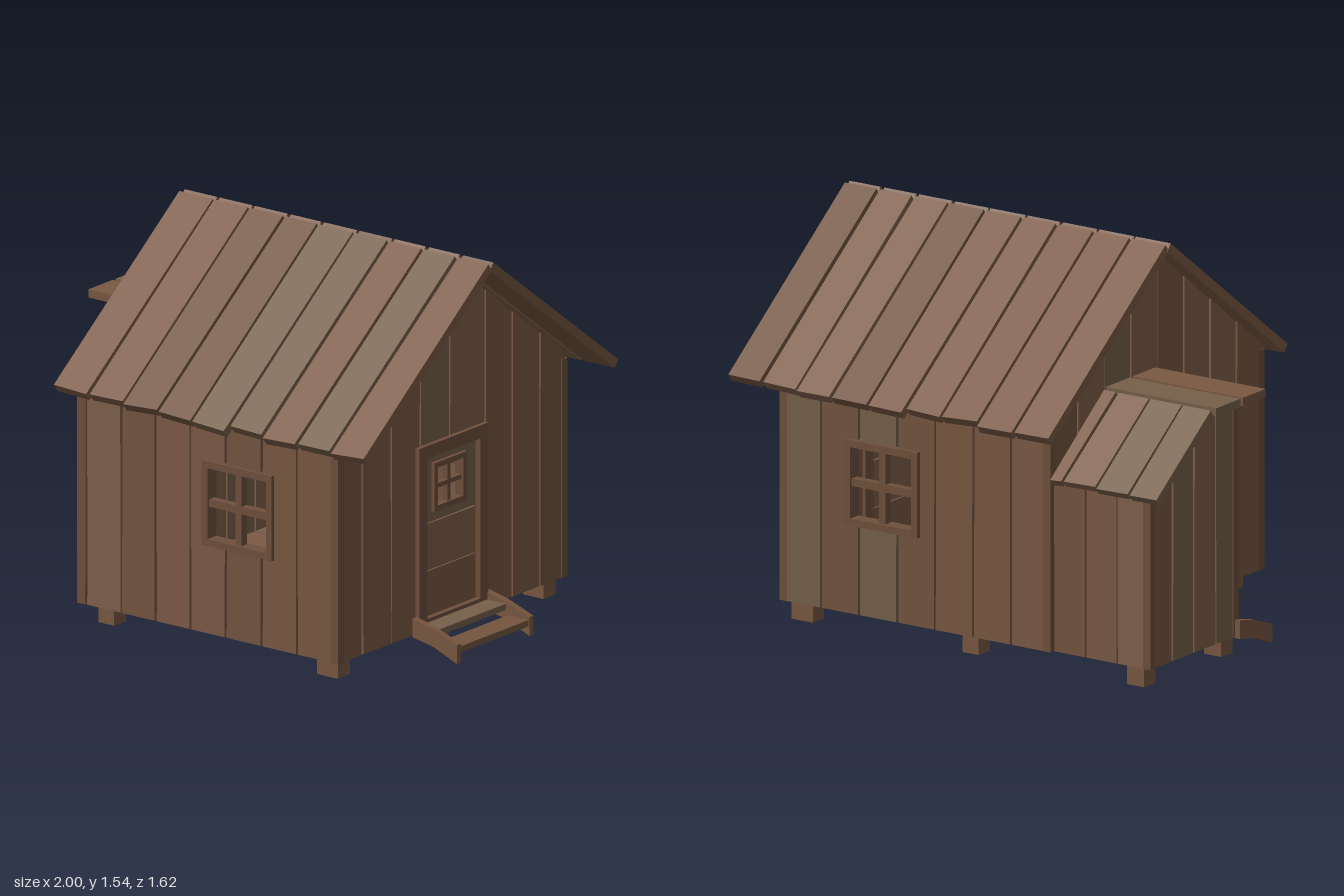
import * as THREE from 'three';

const mats = [0x7a5842, 0x74553f, 0x77604a, 0x80604a, 0x7d5a45].map(
  (color) => new THREE.MeshStandardMaterial({ color }));
const trimMat = new THREE.MeshStandardMaterial({ color: 0x6f503c });

let seed = 7;
const rnd = () => (seed = (seed * 16807) % 2147483647) / 2147483647;
const evenly = (a, b, n) => Array.from({ length: n + 1 }, (_, i) => a + ((b - a) * i) / n);

function place(parent, name, pos, rot = [0, 0, 0]) {
  const g = new THREE.Group();
  g.name = name;
  g.position.set(...pos);
  g.rotation.set(...rot, 'YXZ');
  parent.add(g);
  return g;
}

function box(parent, name, w, h, d, x, y, z, mat = trimMat) {
  const m = new THREE.Mesh(new THREE.BoxGeometry(w, h, d), mat);
  m.name = name;
  m.position.set(x, y, z);
  parent.add(m);
  return m;
}

function slab(parent, name, pts, depth, mat) {
  const shape = new THREE.Shape(pts.map((p) => new THREE.Vector2(...p)));
  const m = new THREE.Mesh(new THREE.ExtrudeGeometry(shape, { depth, bevelEnabled: false }), mat);
  m.name = name;
  parent.add(m);
  return m;
}

// Row of slightly crooked planks in local x/y, thickened along local +z.
// hole = [u0, u1, v0, v1]; splits = extra break points where the top line bends.
function planks(parent, name, o) {
  const { cuts, lo, hi, hole, splits = [], depth = 0.03, ragged = 0, gap = 0.002, taper = 0.005 } = o;
  const top = typeof hi === 'function' ? hi : () => hi;
  const g = place(parent, name, o.pos || [0, 0, 0], o.rot);
  for (let i = 0; i < cuts.length - 1; i++) {
    const a = cuts[i] + gap, b = cuts[i + 1] - gap;
    const mat = mats[Math.floor(rnd() * mats.length)];
    const lowL = lo - ragged * rnd(), lowR = lowL + ragged * (rnd() - 0.5);
    const lean = [rnd() * taper, rnd() * taper, rnd() * taper, rnd() * taper];
    const breaks = [...splits, ...(hole ? hole.slice(0, 2) : [])].filter((u) => u > a && u < b);
    const edges = [a, ...breaks, b].sort((p, q) => p - q);
    for (let k = 0; k < edges.length - 1; k++) {
      const p = edges[k], q = edges[k + 1], mid = (p + q) / 2;
      const L = p === a ? 1 : 0, R = q === b ? 1 : 0;
      const piece = (l0, l1, t0, t1) => slab(g, 'plank', [
        [p + L * lean[0], l0], [q - R * lean[1], l1],
        [q - R * lean[2], t1], [p + L * lean[3], t0]], depth, mat);
      if (hole && mid > hole[0] && mid < hole[1]) {
        if (hole[2] > lo + 0.01) piece(lowL, lowR, hole[2], hole[2]);
        piece(hole[3], hole[3], top(p), top(q));
      } else piece(lowL, lowR, top(p), top(q));
    }
  }
  return g;
}

// Rectangular frame centred on the parent's origin, with optional cross bars
function frame(parent, w, h, bar, d, cross = 0) {
  for (const s of [-1, 1]) {
    box(parent, 'frameSide', bar, h, d, s * (w - bar) / 2, 0, 0);
    box(parent, 'frameRail', w - 2 * bar, bar, d, 0, s * (h - bar) / 2, 0);
  }
  if (cross) {
    box(parent, 'verticalBar', cross, h - 2 * bar, d * 0.6, 0, 0, 0);
    box(parent, 'horizontalBar', w - 2 * bar, cross, d * 0.6, 0, 0, 0);
  }
}

// Two sloping side boards with two treads, leading out along local +z
function steps(parent, name, width, pos, ry) {
  const g = place(parent, name, pos, [0, ry, 0]);
  const side = [[0, 0.07], [0.1, 0.052], [0.215, 0.005], [0.215, 0.08], [0.1, 0.122], [0, 0.145]];
  for (const s of [-1, 1]) {
    const m = slab(g, 'sideBoard', side, 0.026, mats[0]);
    m.rotation.y = -Math.PI / 2;
    m.position.x = s * (width / 2 - 0.013) + 0.013;
  }
  box(g, 'upperTread', width - 0.05, 0.025, 0.1, 0, 0.1, 0.052, mats[2]);
  box(g, 'lowerTread', width - 0.05, 0.025, 0.1, 0, 0.055, 0.16, mats[1]);
}

export function createModel() {
  const root = new THREE.Group();
  root.name = 'cabin';
  const H = Math.PI / 2, base = 0.075;

  // Main walls
  const gable = (u) => 1.495 - 0.75 * Math.abs(u);
  const main = place(root, 'mainRoom', [0, 0, 0]);
  planks(main, 'frontWall', {
    cuts: [-0.475, -0.44, -0.27, -0.105, 0.065, 0.235, 0.41, 0.58, 0.77], lo: base, hi: 0.96,
    hole: [0.155, 0.445, 0.455, 0.745], pos: [0, 0, 0.68] });
  planks(main, 'backWall', {
    cuts: evenly(-0.77, 0.475, 7), lo: base, hi: 0.96,
    hole: [-0.445, -0.155, 0.455, 0.745], pos: [0, 0, -0.675], rot: [0, Math.PI, 0] });
  planks(main, 'doorWall', {
    cuts: [-0.705, -0.56, -0.38, -0.2, -0.02, 0.2, 0.37, 0.54, 0.7], lo: base, hi: gable, splits: [0],
    hole: [-0.18, 0.15, base, 0.775], pos: [0.75, 0, 0], rot: [0, H, 0] });
  planks(main, 'leftGableWall'.replace('left', 'far'), {
    cuts: evenly(-0.7, 0.705, 8), lo: base, hi: gable, splits: [0],
    pos: [-0.45, 0, 0], rot: [0, -H, 0] });
  for (const x of [-0.465, 0.766])
    for (const z of [-0.69, 0.695]) box(main, 'cornerPost', 0.034, 0.875, 0.036, x, 0.5125, z);

  // Main roof: two plank slopes meeting at the ridge
  const roofCuts = [-0.54, -0.367, -0.195, -0.025, 0.14, 0.31, 0.48, 0.645, 0.81, 0.975];
  const tilt = -Math.atan2(0.785, 0.59);
  for (const s of [1, -1])
    planks(main, s > 0 ? 'frontRoof' : 'backRoof', {
      cuts: s > 0 ? roofCuts : roofCuts.map((x) => -x).reverse(),
      lo: -0.965, hi: 0, depth: 0.037, ragged: 0.022, gap: 0.003, taper: 0.007,
      pos: [0, 1.51, s * -0.007], rot: [tilt * 1, s > 0 ? 0 : Math.PI, 0] });

  // Windows, one in each long wall
  for (const z of [0.697, -0.697]) {
    const w = place(root, 'window', [0.3, 0.6, z]);
    frame(w, 0.34, 0.34, 0.028, 0.056, 0.03);
  }

  // Main door with a small window
  const door = place(root, 'mainDoor', [0.768, 0.4475, -0.015 + 0.03], [0, H, 0]);
  frame(door, 0.43, 0.745, 0.052, 0.06);
  planks(door, 'doorBoards', {
    cuts: [-0.33, -0.14, 0.05, 0.33], lo: -0.164, hi: 0.164, gap: 0.001, taper: 0.002, depth: 0.022,
    hole: [0.11, 0.27, -0.07, 0.09], pos: [0, 0, -0.015], rot: [0, 0, H] });
  const pane = place(door, 'doorWindow', [-0.01, 0.19, 0.002]);
  frame(pane, 0.2, 0.195, 0.022, 0.04, 0.018);

  // Side room: low walls under a part flat, part sloping roof
  const side = place(root, 'sideRoom', [0, 0, 0]);
  const sideTop = (z) => (z > -0.35 ? 1.01 : 1.01 - 0.75 * (-0.35 - z));
  planks(side, 'sideFrontWall', {
    cuts: [-0.93, -0.9, -0.73, -0.58, -0.48], lo: base, hi: 1.01,
    hole: [-0.87, -0.585, base, 0.775], pos: [0, 0, -0.13] });
  planks(side, 'sideOuterWall', {
    cuts: evenly(-0.68, -0.105, 4), lo: base, hi: sideTop, splits: [-0.35],
    pos: [-0.9, 0, 0], rot: [0, -H, 0] });
  planks(side, 'sideBackWall', {
    cuts: evenly(0.48, 0.925, 3), lo: base, hi: 0.77,
    pos: [0, 0, -0.655], rot: [0, Math.PI, 0] });
  for (const [z, h] of [[-0.12, 0.93], [-0.67, 0.69]])
    box(side, 'cornerPost', 0.034, h, 0.034, -0.917, base + h / 2, z);
  planks(side, 'flatRoof', {
    cuts: [0.012, 0.178, 0.355], lo: 0.485, hi: 1, depth: 0.033, taper: 0.01,
    pos: [0, 1.013, 0], rot: [-H, H, 0] });
  planks(side, 'slopingRoof', {
    cuts: [0.485, 0.55, 0.705, 0.855, 0.995], lo: -0.445, hi: 0, depth: 0.03, ragged: 0.01, taper: 0.007,
    pos: [0, 1.015, -0.345], rot: [tilt, Math.PI, 0] });

  // Side room door
  const sideDoor = place(root, 'sideDoor', [-0.733, 0.4475, -0.114]);
  frame(sideDoor, 0.38, 0.745, 0.048, 0.06);
  planks(sideDoor, 'doorBoards', {
    cuts: [-0.33, -0.15, 0.05, 0.2, 0.33], lo: -0.143, hi: 0.143, gap: 0.001, taper: 0.002, depth: 0.022,
    pos: [0, 0, -0.015], rot: [0, 0, H] });

  // Floors
  planks(root, 'mainFloor', {
    cuts: evenly(-0.7, 0.69, 8), lo: -0.77, hi: 0.47, depth: 0.03, pos: [0, 0.072, 0], rot: [-H, H, 0] });
  planks(root, 'sideFloor', {
    cuts: evenly(0.11, 0.675, 4), lo: 0.47, hi: 0.92, depth: 0.03, pos: [0, 0.072, 0], rot: [-H, H, 0] });

  // Foundation blocks
  const feet = [[0.697, 0.632, 0.1], [0.697, 0.02, 0.1], [0.697, -0.643, 0.1], [-0.09, -0.643, 0.075],
    [-0.86, -0.643, 0.08], [-0.375, 0.632, 0.075], [-0.375, -0.132, 0.075], [-0.86, -0.132, 0.08]];
  for (const [x, z, w] of feet) box(root, 'foundationBlock', w, 0.074, 0.075, x, 0.037, z, mats[0]);

  // Entrance steps
  steps(root, 'mainSteps', 0.475, [0.785, 0, 0.018], H);
  steps(root, 'sideSteps', 0.47, [-0.722, 0, -0.125], 0);
  return root;
}
